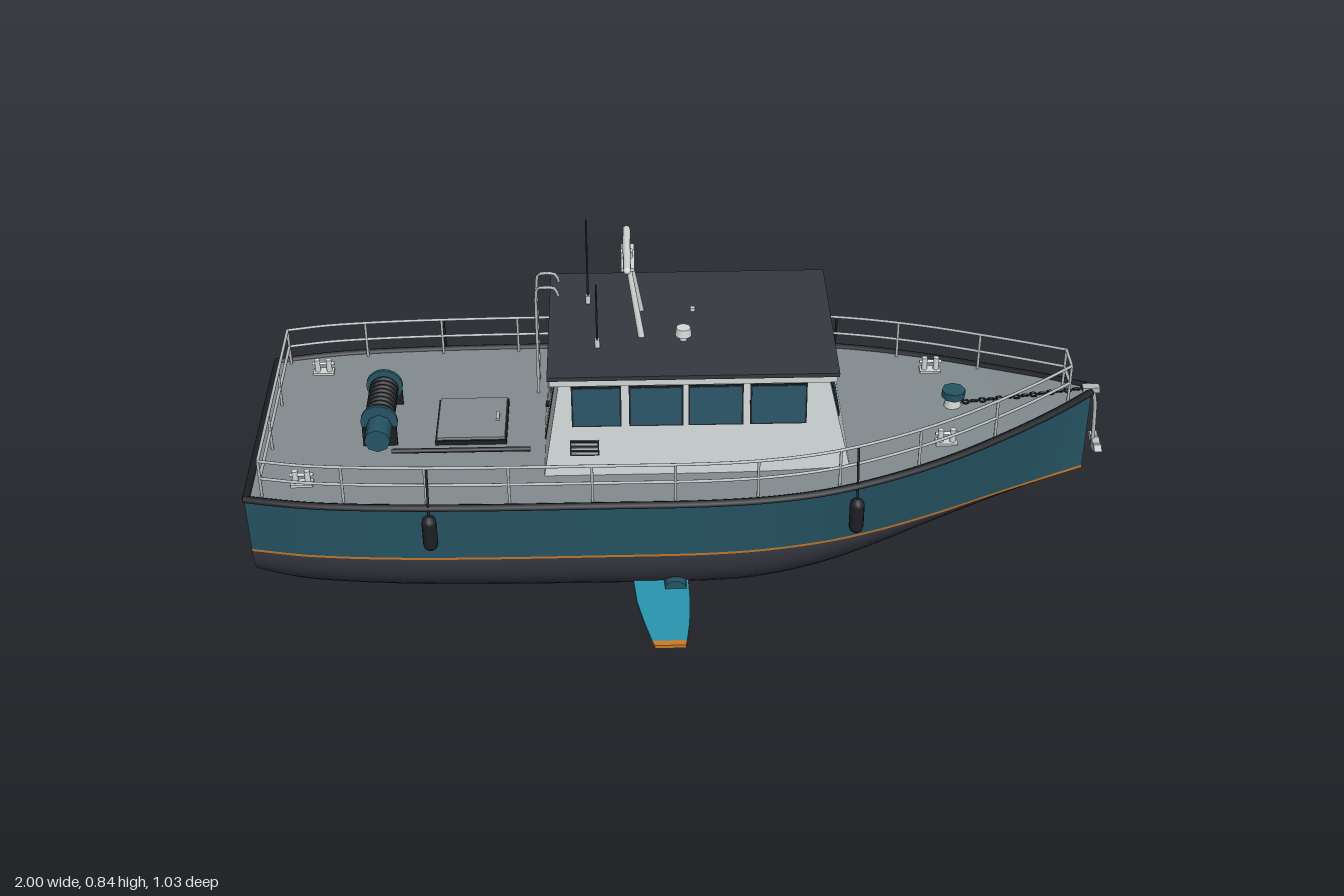
import * as THREE from 'three';
import { ParametricGeometry } from 'three/addons/geometries/ParametricGeometry.js';

const paint = (name, color) => Object.assign(new THREE.MeshStandardMaterial({ color }), { name });
const M = {
  teal: paint('hull teal', 0x265565), dark: paint('dark slate', 0x363841), deck: paint('deck grey', 0x838c8f),
  white: paint('cabin white', 0xd3d9d8), black: paint('rubber black', 0x1d1f24), glass: paint('window glass', 0x2a5566),
  fin: paint('fin cyan', 0x2a95b0), orange: paint('orange', 0xc87a2c), metal: paint('rail metal', 0xb4babb),
};
const V = (x, y, z) => new THREE.Vector3(x, y, z);

// smooth curve through [x, value] pairs
function spline(t) {
  const slope = (i) => {
    const a = t[Math.max(i - 1, 0)], b = t[Math.min(i + 1, t.length - 1)];
    return (b[1] - a[1]) / (b[0] - a[0]);
  };
  return (x) => {
    let i = 0;
    while (i < t.length - 2 && x > t[i + 1][0]) i++;
    const [x0, a] = t[i], [x1, b] = t[i + 1], h = x1 - x0, s = (x - x0) / h, s2 = s * s, s3 = s2 * s;
    return a * (2 * s3 - 3 * s2 + 1) + b * (3 * s2 - 2 * s3) + h * slope(i) * (s3 - 2 * s2 + s) + h * slope(i + 1) * (s3 - s2);
  };
}
const STERN = -1, BOW = 0.96, WATER = 0.195;
const beam = spline([[-1, 0.283], [-0.85, 0.312], [-0.6, 0.328], [-0.2, 0.332], [0.1, 0.33], [0.3, 0.31], [0.45, 0.272], [0.6, 0.215], [0.75, 0.14], [0.88, 0.066], [0.96, 0.012]]);
const waterBeam = spline([[-1, 0.272], [-0.85, 0.3], [-0.6, 0.317], [-0.2, 0.32], [0.1, 0.315], [0.3, 0.285], [0.45, 0.238], [0.6, 0.174], [0.75, 0.102], [0.88, 0.042], [0.96, 0.006]]);
const keel = spline([[-1, 0.05], [-0.95, 0.033], [-0.85, 0.02], [-0.6, 0.008], [-0.1, 0.001], [0.1, 0.002], [0.3, 0.015], [0.45, 0.04], [0.6, 0.08], [0.75, 0.125], [0.88, 0.168], [0.96, 0.193]]);
const sheer = spline([[-1, 0.35], [-0.2, 0.35], [0.2, 0.353], [0.5, 0.37], [0.75, 0.392], [0.96, 0.418]]);
const xAt = (u) => STERN + (BOW - STERN) * u;

export function createModel() {
  const boat = new THREE.Group();
  boat.name = 'workboat';
  const add = (name, geo, mat, x = 0, y = 0, z = 0, parent = boat) => {
    const m = new THREE.Mesh(geo, mat);
    m.name = name;
    m.position.set(x, y, z);
    parent.add(m);
    return m;
  };
  const box = (name, mat, w, h, d, x, y, z, parent) => add(name, new THREE.BoxGeometry(w, h, d), mat, x, y, z, parent);
  const rod = (name, mat, a, b, r, r2 = r, n = 10) => {
    const d = b.clone().sub(a), c = a.clone().add(b).multiplyScalar(0.5);
    const m = add(name, new THREE.CylinderGeometry(r2, r, d.length(), n), mat, c.x, c.y, c.z);
    m.quaternion.setFromUnitVectors(V(0, 1, 0), d.normalize());
    return m;
  };
  const tube = (name, mat, pts, r, n = 60, tension = 0.5) =>
    add(name, new THREE.TubeGeometry(new THREE.CatmullRomCurve3(pts, false, 'catmullrom', tension), n, r, 6), mat);

  // hull below the waterline
  const bottomAt = (x, a) => {
    const e = 0.9 + 0.8 * THREE.MathUtils.smoothstep(x, 0.1, 0.9);
    const z = Math.sign(a) * waterBeam(x) * Math.abs(Math.sin(a)) ** e;
    return [z, WATER - (WATER - keel(x)) * Math.max(Math.cos(a), 0) ** e];
  };
  add('hullBottom', new ParametricGeometry((u, v, p) => {
    const x = xAt(u), [z, y] = bottomAt(x, (v - 0.5) * Math.PI);
    p.set(x, y, z);
  }, 60, 24), M.dark);

  // topsides and waterline stripe
  const side = (s, t0, t1, out) => new ParametricGeometry((u, v, p) => {
    const x = xAt(u), t = t0 + (t1 - t0) * (s > 0 ? v : 1 - v);
    p.set(x, WATER + (sheer(x) - WATER) * t, s * (out + THREE.MathUtils.lerp(waterBeam(x), beam(x), t)));
  }, 60, 6);
  for (const s of [1, -1]) {
    add('topside', side(s, 0, 1, 0), M.teal);
    add('waterlineStripe', side(s, 0, 0.04, 0.0015), M.orange);
  }
  add('deck', new ParametricGeometry((u, v, p) => {
    const x = xAt(u);
    p.set(x, sheer(x), beam(x) * (1 - 2 * v));
  }, 60, 2), M.deck);

  // flat end faces at stern and stem
  for (const [x, turn, mat, name] of [[STERN, -1, M.dark, 'transom'], [BOW, 1, M.teal, 'stemFace']]) {
    const pts = [new THREE.Vector2(beam(x), sheer(x)), new THREE.Vector2(-beam(x), sheer(x))];
    for (let i = 0; i <= 24; i++) pts.push(new THREE.Vector2(...bottomAt(x, (i / 24 - 0.5) * Math.PI)));
    add(name, new THREE.ShapeGeometry(new THREE.Shape(pts)).rotateY(turn * Math.PI / 2), mat, x);
  }

  // rubbing strake around the deck edge
  for (const s of [1, -1]) {
    const pts = [];
    for (let i = 0; i <= 24; i++) pts.push(V(xAt(i / 24), sheer(xAt(i / 24)), s * beam(xAt(i / 24))));
    tube('rubRail', M.black, pts, 0.009, 72);
  }
  rod('sternRubRail', M.black, V(-0.995, 0.35, -0.283), V(-0.995, 0.35, 0.283), 0.009);

  // guard rails and stanchions
  const railAt = (x, s, h) => V(x, sheer(x) + h, s * (beam(x) - 0.018));
  for (const h of [0.05, 0.097]) {
    for (const s of [1, -1]) {
      const pts = [];
      for (let i = 0; i <= 20; i++) pts.push(railAt(-0.96 + 1.86 * i / 20, s, h));
      tube('guardRail', M.metal, pts, 0.0038);
    }
    for (const x of [-0.96, 0.9]) rod('endRail', M.metal, railAt(x, 1, h), railAt(x, -1, h), 0.0038);
  }
  for (const s of [1, -1]) {
    for (let i = 0; i <= 10; i++) {
      const x = -0.96 + 0.186 * i;
      rod('stanchion', M.metal, railAt(x, s, 0), railAt(x, s, 0.097), 0.0036, 0.0036, 6);
    }
    rod('sternStanchion', M.metal, V(-0.96, 0.35, s * 0.09), V(-0.96, 0.447, s * 0.09), 0.0036, 0.0036, 6);
    // fenders on ropes
    for (const x of [-0.583, 0.382]) {
      const z = s * (beam(x) + 0.01);
      add('fender', new THREE.CapsuleGeometry(0.017, 0.06, 3, 12), M.black, x, 0.287, z);
      rod('fenderRope', M.black, V(x, 0.33, z), railAt(x, s, 0.097), 0.003, 0.003, 6);
    }
    // mooring bitts
    for (const [x, z] of [[-0.875, 0.23], [0.6, 0.152]]) {
      const y = sheer(x);
      box('bittBase', M.white, 0.05, 0.006, 0.026, x, y + 0.003, s * z);
      for (const d of [-0.014, 0.014]) rod('bittPost', M.white, V(x + d, y, s * z), V(x + d, y + 0.038, s * z), 0.007);
      rod('bittBar', M.white, V(x - 0.027, y + 0.027, s * z), V(x + 0.027, y + 0.027, s * z), 0.004);
    }
  }

  // cabin with inward leaning walls
  const Y0 = 0.345, Y1 = 0.605, wall = (y, a, b) => a + (b - a) * (y - Y0) / (Y1 - Y0);
  const front = (y) => wall(y, 0.375, 0.315), aft = (y) => wall(y, -0.327, -0.285), flank = (y) => wall(y, 0.215, 0.2);
  const cabin = new THREE.BoxGeometry(2, Y1 - Y0, 2).translate(0, (Y0 + Y1) / 2, 0);
  const p = cabin.attributes.position;
  for (let i = 0; i < p.count; i++) {
    const y = p.getY(i);
    p.setXYZ(i, p.getX(i) > 0 ? front(y) : aft(y), y, Math.sign(p.getZ(i)) * flank(y));
  }
  cabin.computeVertexNormals();
  add('cabin', cabin, M.white);
  box('roofEdge', M.white, 0.64, 0.018, 0.44, 0.013, 0.606, 0);
  box('roofTop', M.dark, 0.65, 0.01, 0.45, 0.013, 0.619, 0);

  // thin plates lying on the cabin walls
  const onSide = (name, mat, s, x, y, w, h, t) => {
    box(name, mat, w, h, t, x, y, s * flank(y)).rotation.x = -s * Math.atan(0.015 / 0.26);
  };
  const onEnd = (name, mat, s, z, y, w, h, t, roll = 0) => {
    const m = box(name, mat, t, h, w, s > 0 ? front(y) : aft(y), y, z);
    m.rotation.set(roll, 0, s > 0 ? Math.atan(0.06 / 0.26) : -Math.atan(0.042 / 0.26), 'ZYX');
  };
  for (const s of [1, -1]) {
    for (const [x, w] of [[-0.204, 0.104], [-0.07, 0.114], [0.064, 0.116], [0.205, 0.12]]) {
      onSide('windowFrame', M.black, s, x, 0.532, w + 0.008, 0.104, 0.005);
      onSide('sideWindow', M.glass, s, x, 0.532, w, 0.096, 0.009);
    }
    onSide('ventPanel', M.black, s, -0.233, 0.423, 0.066, 0.04, 0.004);
    for (let i = 0; i < 3; i++) onSide('ventSlat', M.metal, s, -0.233, 0.411 + i * 0.012, 0.06, 0.005, 0.009);
  }
  for (const z of [-0.123, 0, 0.123]) {
    onEnd('windscreenFrame', M.black, 1, z, 0.532, 0.122, 0.106, 0.005);
    onEnd('windscreen', M.glass, 1, z, 0.532, 0.112, 0.096, 0.009);
    onEnd('wiper', M.black, 1, z - 0.008, 0.548, 0.065, 0.004, 0.014, 0.6);
  }
  // aft door
  onEnd('doorFrame', M.black, -1, 0.02, 0.455, 0.112, 0.2, 0.005);
  onEnd('door', M.white, -1, 0.02, 0.455, 0.104, 0.192, 0.008);
  onEnd('doorWindow', M.glass, -1, 0.02, 0.5, 0.066, 0.075, 0.0095);
  box('doorHandle', M.black, 0.012, 0.006, 0.018, aft(0.44) - 0.006, 0.44, 0.055);
  // ladder to the roof
  for (const z of [-0.19, -0.125]) {
    tube('ladderRail', M.metal, [V(-0.348, 0.352, z), V(-0.346, 0.5, z), V(-0.344, 0.63, z), V(-0.33, 0.645, z), V(-0.3, 0.643, z), V(-0.292, 0.622, z)], 0.004, 30);
  }
  for (let i = 0; i < 7; i++) rod('ladderRung', M.metal, V(-0.346, 0.385 + i * 0.037, -0.19), V(-0.346, 0.385 + i * 0.037, -0.125), 0.0035);

  // mast, radar and aerials
  for (const s of [1, -1]) rod('mastLeg', M.white, V(-0.1, 0.622, s * 0.057), V(-0.127, 0.795, s * 0.03), 0.008, 0.006);
  box('mastPlatform', M.white, 0.03, 0.008, 0.112, -0.128, 0.797, 0);
  rod('radarDrive', M.white, V(-0.13, 0.785, 0), V(-0.13, 0.815, 0), 0.015);
  const radar = add('radarScanner', new THREE.CapsuleGeometry(0.009, 0.184, 4, 10), M.white, -0.13, 0.817, 0);
  radar.rotation.x = Math.PI / 2;
  for (const [x, z, top] of [[-0.222, -0.09, 0.845], [-0.2, 0.1, 0.787]]) {
    rod('aerialBase', M.white, V(x, 0.622, z), V(x, 0.645, z), 0.006);
    rod('aerial', M.black, V(x, 0.64, z), V(x, top, z), 0.0028, 0.002, 6);
  }
  rod('domeStem', M.white, V(-0.005, 0.622, 0.075), V(-0.005, 0.64, 0.075), 0.009);
  rod('satelliteDome', M.white, V(-0.005, 0.637, 0.075), V(-0.005, 0.656, 0.075), 0.019, 0.016, 16);
  rod('roofStub', M.white, V(0.02, 0.622, -0.05), V(0.02, 0.632, -0.05), 0.006);

  // winch, motor, pipe and hatch on the aft deck
  rod('winchDrum', M.black, V(-0.71, 0.41, -0.08), V(-0.71, 0.41, 0.07), 0.027, 0.027, 16);
  for (let i = 0; i < 8; i++) add('cableTurn', new THREE.TorusGeometry(0.029, 0.006, 6, 16), M.black, -0.71, 0.41, -0.064 + i * 0.0165);
  for (const z of [-0.08, 0.07]) {
    rod('winchFlange', M.teal, V(-0.71, 0.41, z - 0.004), V(-0.71, 0.41, z + 0.004), 0.043, 0.043, 20);
    box('winchFoot', M.black, 0.08, 0.05, 0.008, -0.71, 0.372, z + Math.sign(z) * 0.009);
  }
  rod('winchMotor', M.teal, V(-0.71, 0.4, 0.075), V(-0.71, 0.4, 0.138), 0.03, 0.03, 8);
  rod('deckPipe', M.black, V(-0.68, 0.362, 0.124), V(-0.36, 0.362, 0.124), 0.006);
  box('hatchCoaming', M.black, 0.166, 0.012, 0.172, -0.5, 0.355, 0);
  box('hatchLid', M.deck, 0.158, 0.014, 0.164, -0.5, 0.361, 0);
  box('hatchHandle', M.metal, 0.008, 0.008, 0.03, -0.44, 0.37, 0);

  // capstan, chain and anchor
  rod('capstanBase', M.white, V(0.635, 0.375, 0), V(0.635, 0.405, 0), 0.022, 0.017, 12);
  rod('capstanHead', M.teal, V(0.635, 0.405, 0), V(0.635, 0.424, 0), 0.028, 0.028, 8);
  for (let i = 0; i < 15; i++) {
    const x = 0.665 + i * 0.02;
    const link = add('chainLink', new THREE.TorusGeometry(0.008, 0.0026, 5, 8), M.black, x, sheer(Math.min(x, BOW)) + 0.005, 0);
    link.rotation.x = i % 2 ? 0.7 : Math.PI / 2;
  }
  box('bowRoller', M.metal, 0.04, 0.014, 0.02, 0.96, 0.42, 0);
  tube('anchorShank', M.metal, [V(0.965, 0.418, 0), V(0.974, 0.38, 0), V(0.978, 0.32, 0), V(0.98, 0.26, 0)], 0.005, 20);
  const fluke = new THREE.Shape([[0, -0.012], [0.02, -0.008], [0.045, 0.004], [0.03, 0.014], [0.016, 0.01], [0, 0.016]].map((q) => new THREE.Vector2(...q)));
  for (const s of [1, -1]) {
    const f = add('anchorFluke', new THREE.ExtrudeGeometry(fluke, { depth: 0.018, bevelEnabled: false }).translate(0, 0, -0.009), M.metal, 0.986, 0.263, 0);
    f.rotation.y = -s * Math.PI / 2;
  }

  // stabiliser fins
  const plate = (pts) => new THREE.ExtrudeGeometry(new THREE.Shape(pts.map((q) => new THREE.Vector2(...q))), { depth: 0.009, bevelEnabled: false })
    .translate(0, 0, -0.0045).rotateX(Math.PI / 2);
  for (const s of [1, -1]) {
    const fin = new THREE.Group();
    fin.name = 'stabiliserFin';
    fin.position.y = 0.09;
    if (s < 0) fin.rotation.x = Math.PI;
    boat.add(fin);
    add('finBlade', plate([[0, 0.275], [0.002, 0.36], [-0.002, 0.44], [-0.009, 0.498], [-0.088, 0.498], [-0.105, 0.43], [-0.12, 0.36], [-0.128, 0.275]]), M.fin, 0, 0, 0, fin);
    add('finTip', plate([[-0.009, 0.498], [-0.012, 0.515], [-0.082, 0.515], [-0.088, 0.498]]), M.orange, 0, 0, 0, fin);
    const hub = (r, z0, z1) => add('finHub', new THREE.CylinderGeometry(r, r, z1 - z0, 16).rotateX(Math.PI / 2), M.teal, -0.03, 0, (z0 + z1) / 2, fin);
    hub(0.034, 0.24, 0.278);
    hub(0.026, 0.278, 0.316);
  }
  return boat;
}
